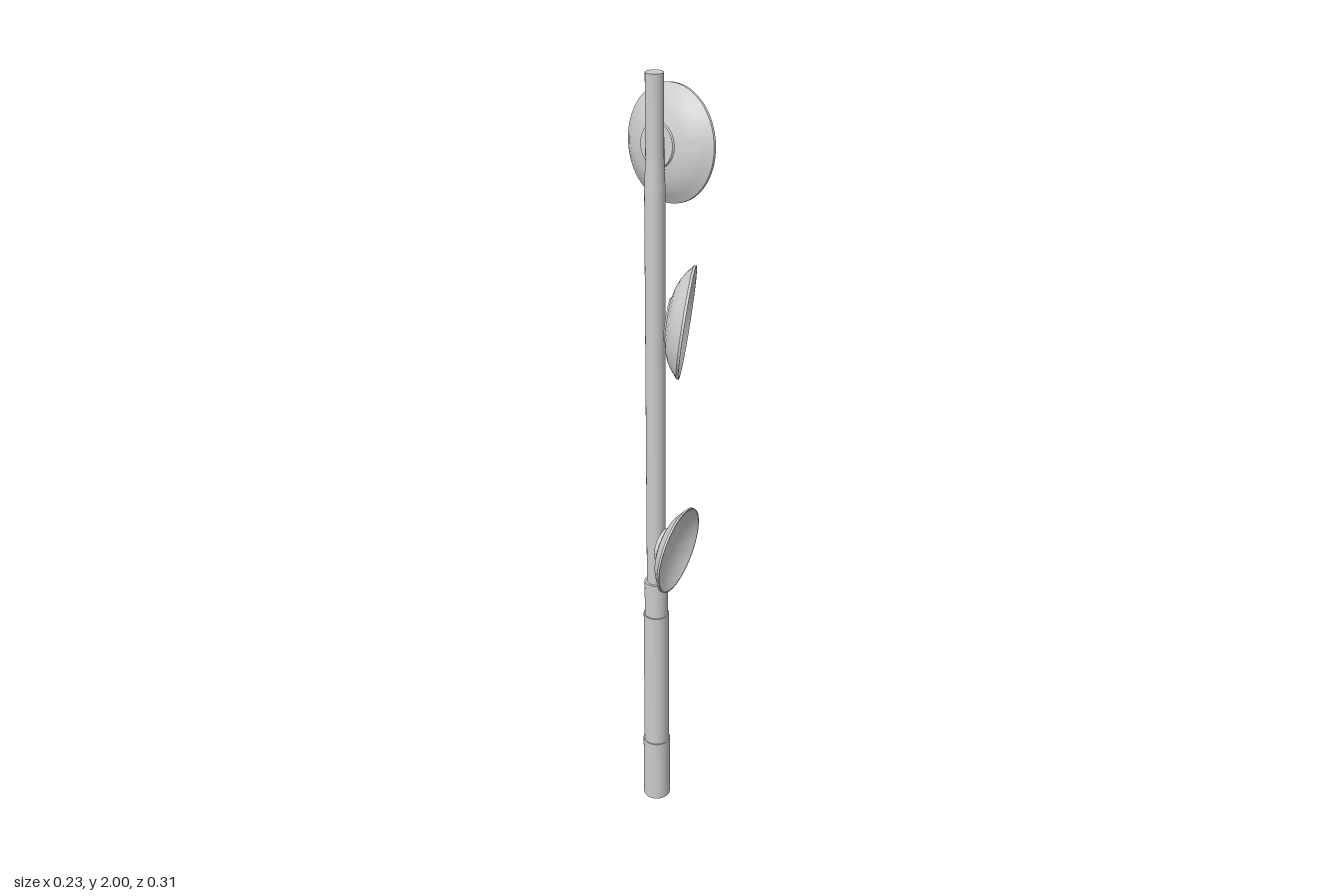
import * as THREE from 'three';
import { toCreasedNormals } from 'three/addons/utils/BufferGeometryUtils.js';

const material = new THREE.MeshStandardMaterial({ color: 0xcccccc });
const POLE_X = -0.036, POLE_Z = 0.003;

// Pole sections: name, bottom y, top y, bottom radius, top radius
const SECTIONS = [
  ['poleBase', 0, 0.19, 0.036, 0.036],
  ['poleLower', 0.19, 0.6, 0.033, 0.033],
  ['poleCollar', 0.6, 0.7, 0.03, 0.03],
  ['poleMiddle', 0.7, 1.74, 0.024, 0.024],
  ['poleTaper', 1.74, 1.81, 0.024, 0.021],
  ['poleTip', 1.81, 2, 0.021, 0.021],
];

// Dishes: name, rim centre, rim radius, horizontal facing direction (x, z)
const DISHES = [
  ['lowerDish', [-0.013, 0.813, 0.069], 0.113, [0.45, 0.89]],
  ['middleDish', [0.018, 1.421, 0.057], 0.134, [0.72, 0.69]],
  ['upperDish', [0.034, 1.825, -0.027], 0.134, [0.99, -0.15]],
];

// Hollow bowl: flat back disc, curved back, rim band, then the concave inside
function dishGeometry(radius) {
  const profile = [
    [0, -0.05], [0.05, -0.05], [0.052, -0.046], [0.078, -0.04], [0.1, -0.031],
    [0.116, -0.02], [0.131, -0.008], [0.134, -0.006], [0.134, 0], [0.13, 0],
    [0.115, -0.012], [0.095, -0.022], [0.075, -0.03], [0.05, -0.036], [0, -0.038],
  ];
  const k = radius / 0.134;
  const points = profile.map(([r, y]) => new THREE.Vector2(r * k, r <= 0.05 && y < -0.04 ? y : y * k));
  return toCreasedNormals(new THREE.LatheGeometry(points, 64), 0.45);
}

export function createModel() {
  const model = new THREE.Group();
  model.name = 'dishMast';

  // Stepped pole
  for (const [name, y0, y1, r0, r1] of SECTIONS) {
    const section = new THREE.Mesh(new THREE.CylinderGeometry(r1, r0, y1 - y0, 40), material);
    section.name = name;
    section.position.set(POLE_X, (y0 + y1) / 2, POLE_Z);
    model.add(section);
  }

  // Dishes leaning slightly downward
  const up = new THREE.Vector3(0, 1, 0);
  for (const [name, centre, radius, [dx, dz]] of DISHES) {
    const dish = new THREE.Mesh(dishGeometry(radius), material);
    dish.name = name;
    dish.position.set(...centre);
    dish.quaternion.setFromUnitVectors(up, new THREE.Vector3(dx, -0.12, dz).normalize());
    model.add(dish);
  }
  return model;
}
